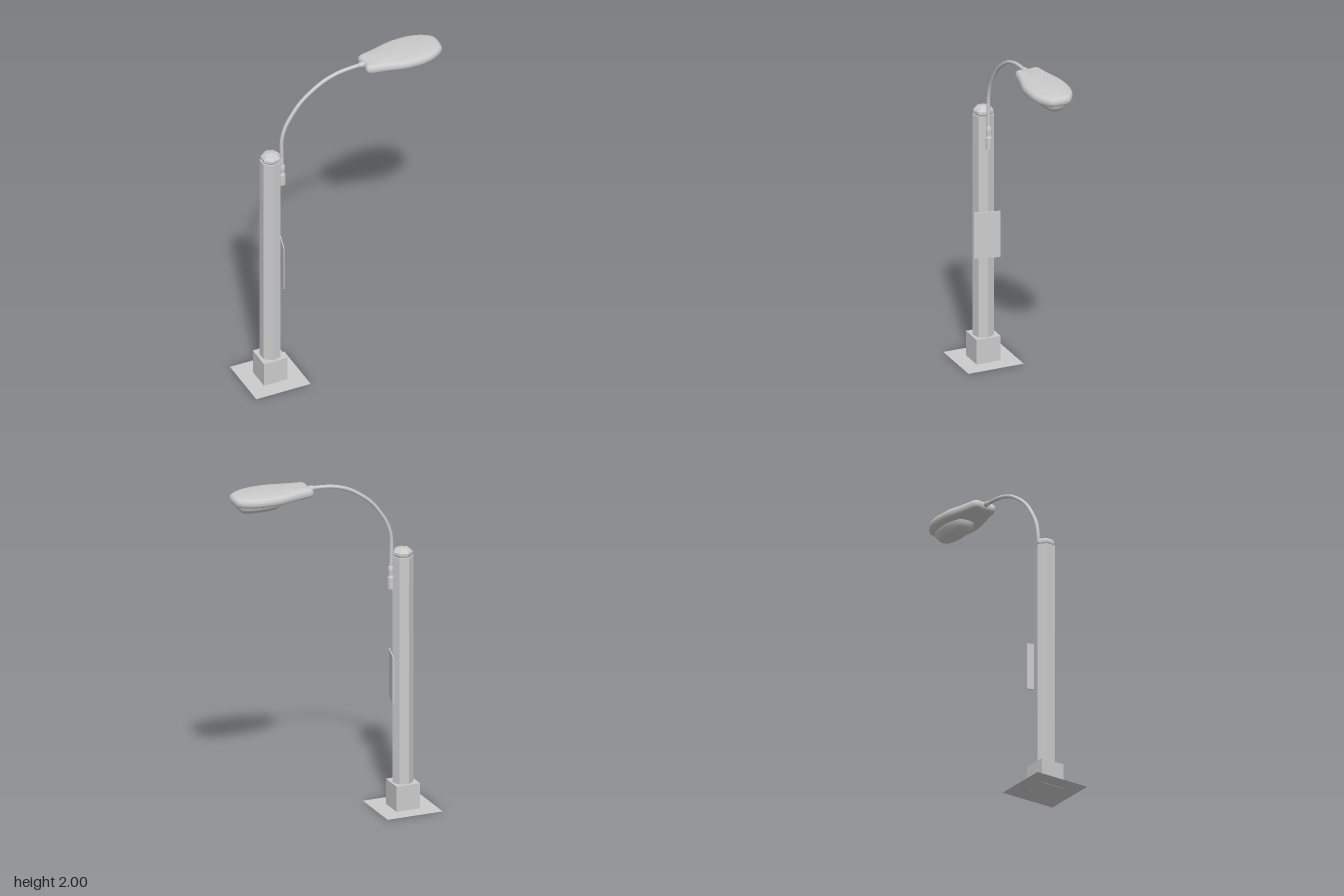
import * as THREE from 'three';
import { toCreasedNormals } from 'three/addons/utils/BufferGeometryUtils.js';

const grey = new THREE.MeshStandardMaterial({ color: 0xcccccc });
const flat = new THREE.MeshStandardMaterial({ color: 0xcccccc, flatShading: true });
const thin = new THREE.MeshStandardMaterial({ color: 0xcccccc, side: THREE.DoubleSide });

const POLE_X = -0.435;

function add(parent, name, geometry, material, x = 0, y = 0, z = 0) {
  const mesh = new THREE.Mesh(geometry, material);
  mesh.name = name;
  mesh.position.set(x, y, z);
  parent.add(mesh);
  return mesh;
}

// Closed smooth plan outline from half of its [x, z] points, mirrored over z = 0
function mirroredOutline(half, count) {
  const mirror = half.slice().reverse().map(([x, z]) => [x, -z]);
  const points = [...half, ...mirror].map(([x, z]) => new THREE.Vector3(x, 0, z));
  return new THREE.CatmullRomCurve3(points, true, 'centripetal').getPoints(count).slice(0, count);
}

// Stack of shrunken outlines, levels given bottom to top as [y, inset], closed at both ends
function stackOutline(outline, levels, crease) {
  const box = new THREE.Box3().setFromPoints(outline);
  const size = box.getSize(new THREE.Vector3());
  const cx = (box.min.x + box.max.x) / 2;
  const n = outline.length;
  const positions = [];
  const index = [];
  levels.forEach(([y, inset], j) => {
    const sx = 1 - (2 * inset) / size.x;
    const sz = 1 - (2 * inset) / size.z;
    outline.forEach((p, i) => {
      positions.push(cx + (p.x - cx) * sx, y, p.z * sz);
      if (j === levels.length - 1) return;
      const a = j * n + i;
      const b = j * n + ((i + 1) % n);
      index.push(a, a + n, b, b, a + n, b + n);
    });
  });
  const bottom = positions.length / 3;
  const last = (levels.length - 1) * n;
  positions.push(cx, levels[0][0], 0, cx, levels[levels.length - 1][0], 0);
  for (let i = 0; i < n; i++) {
    const k = (i + 1) % n;
    index.push(bottom, i, k, bottom + 1, last + k, last + i);
  }
  const geometry = new THREE.BufferGeometry();
  geometry.setAttribute('position', new THREE.Float32BufferAttribute(positions, 3));
  geometry.setIndex(index);
  return toCreasedNormals(geometry, crease);
}

function lathe(profile, sides) {
  return new THREE.LatheGeometry(profile.map(([r, y]) => new THREE.Vector2(r, y)), sides, Math.PI / 2);
}

export function createModel() {
  const model = new THREE.Group();
  model.name = 'streetLamp';

  // Ground plate and footing
  const plate = new THREE.PlaneGeometry(0.337, 0.34).rotateX(-Math.PI / 2);
  add(model, 'groundPlate', plate, thin, -0.436, 0.001, -0.002);
  add(model, 'footing', new THREE.BoxGeometry(0.144, 0.15, 0.146), flat, -0.438, 0.075, -0.001);

  // Seven-sided pole with a corner towards the arm, and its faceted cap
  const pole = new THREE.CylinderGeometry(0.062, 0.062, 1.35, 7, 1, false, Math.PI / 2);
  add(model, 'pole', pole, flat, POLE_X, 0.82, 0);
  const cap = lathe([[0.05, 1.49], [0.058, 1.505], [0.058, 1.52], [0.043, 1.535], [0, 1.545]], 7);
  add(model, 'poleCap', cap, flat, POLE_X, 0, 0);

  // Slightly turned notice panel
  const panel = add(model, 'panel', new THREE.BoxGeometry(0.006, 0.28, 0.153), flat, -0.37, 0.78, 0.008);
  panel.rotation.y = -0.277;

  // Bracket sleeve holding the arm
  const sleeve = lathe([[0, 1.307], [0.019, 1.307], [0.019, 1.375], [0.014, 1.382],
    [0.013, 1.395], [0.016, 1.41], [0.015, 1.435], [0.01, 1.445]], 16);
  add(model, 'armSleeve', toCreasedNormals(sleeve, 0.6), grey, -0.363, 0, 0);

  // Curved arm
  const path = [[-0.363, 1.38], [-0.366, 1.5], [-0.366, 1.61], [-0.345, 1.69], [-0.305, 1.76],
    [-0.25, 1.832], [-0.18, 1.89], [-0.1, 1.938], [-0.01, 1.966], [0.06, 1.974], [0.16, 1.977]];
  const arm = new THREE.CatmullRomCurve3(path.map(([x, y]) => new THREE.Vector3(x, y, 0)));
  add(model, 'arm', new THREE.TubeGeometry(arm, 48, 0.011, 12), grey);
  const collar = new THREE.CylinderGeometry(0.016, 0.014, 0.04, 16).rotateZ(-Math.PI / 2);
  add(model, 'armCollar', collar, grey, 0.13, 1.977, 0);

  // Lamp head
  const headOutline = mirroredOutline([[0.603, 0.05], [0.575, 0.08], [0.53, 0.105], [0.47, 0.121],
    [0.4, 0.123], [0.34, 0.118], [0.26, 0.097], [0.2, 0.083], [0.145, 0.07], [0.134, 0.057],
    [0.138, 0.015]], 88);
  const headLevels = [[1.946, 0.016], [1.951, 0.006], [1.962, 0], [1.978, 0], [1.99, 0.005],
    [1.997, 0.014], [2.0, 0.028]];
  add(model, 'lampHead', stackOutline(headOutline, headLevels, 0.8), grey);

  // Lens bowl beneath the head
  const lensOutline = mirroredOutline([[0.577, 0.03], [0.55, 0.055], [0.5, 0.07], [0.44, 0.076],
    [0.38, 0.07], [0.325, 0.052], [0.31, 0.025]], 56);
  const lensLevels = [[1.895, 0.038], [1.898, 0.028], [1.912, 0.014], [1.925, 0.004], [1.95, 0]];
  add(model, 'lens', stackOutline(lensOutline, lensLevels, 0.6), grey);

  return model;
}
